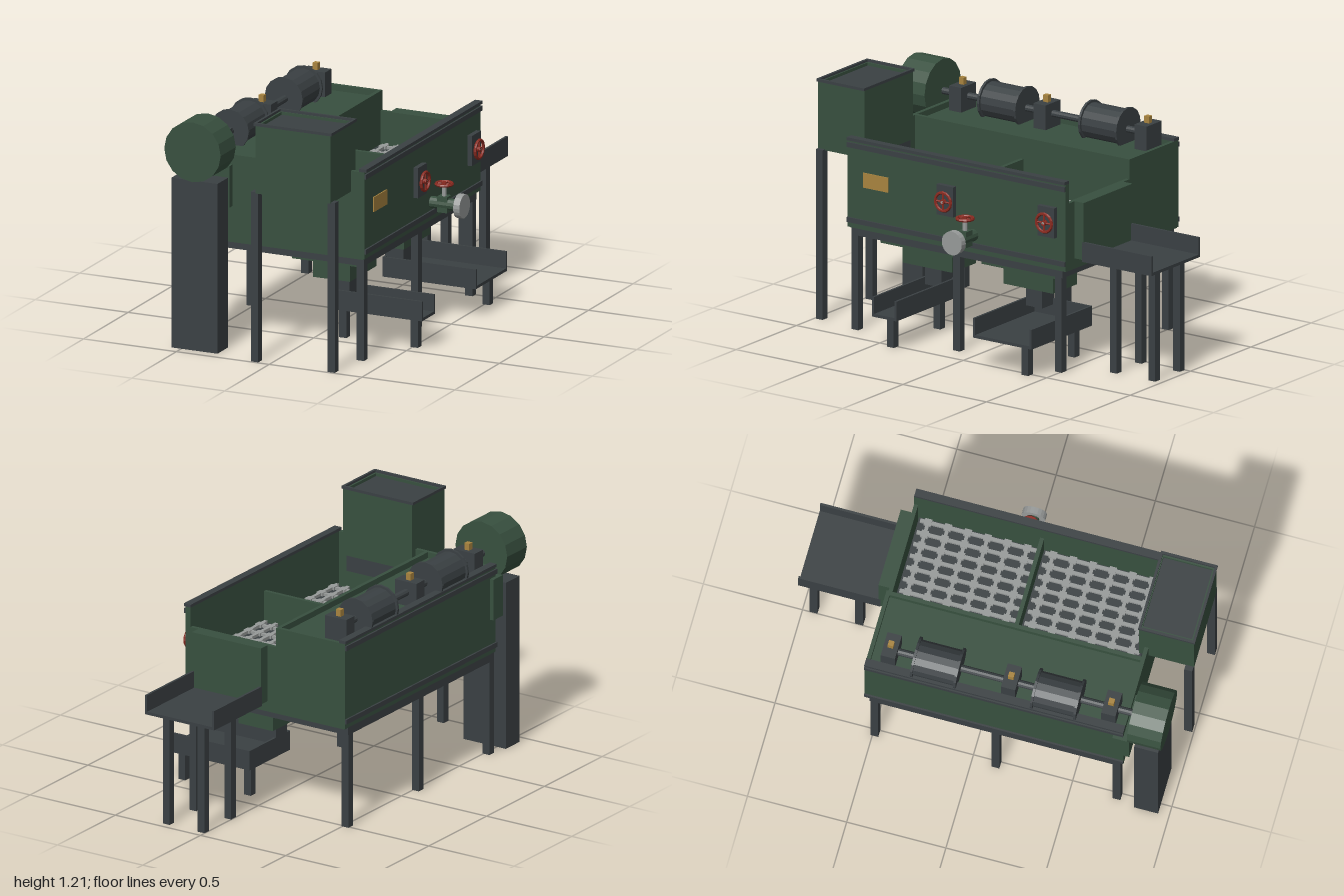
import * as THREE from 'three';

const mat = (name, color) => {
  const m = new THREE.MeshStandardMaterial({ color, flatShading: true });
  m.name = name;
  return m;
};

export function createModel() {
  const root = new THREE.Group();
  root.name = 'oreJig';
  const green = mat('machineGreen', 0x38503f);
  const dark = mat('darkSteel', 0x3a4043);
  const brass = mat('brass', 0xa8843f);
  const red = mat('handwheelRed', 0x8a2a20);
  const light = mat('lightSteel', 0x979a99);

  // Box from min/max extents on each axis
  const box = (name, m, x0, x1, y0, y1, z0, z1) => {
    const mesh = new THREE.Mesh(new THREE.BoxGeometry(x1 - x0, y1 - y0, z1 - z0), m);
    mesh.position.set((x0 + x1) / 2, (y0 + y1) / 2, (z0 + z1) / 2);
    mesh.name = name;
    root.add(mesh);
    return mesh;
  };
  // Cylinder centred at (x, y, z) along an axis
  const cyl = (name, m, r, len, axis, x, y, z, sides = 16, parent = root) => {
    const g = new THREE.CylinderGeometry(r, r, len, sides);
    if (axis === 'x') g.rotateZ(Math.PI / 2);
    if (axis === 'z') g.rotateX(Math.PI / 2);
    const mesh = new THREE.Mesh(g, m);
    mesh.position.set(x, y, z);
    mesh.name = name;
    parent.add(mesh);
    return mesh;
  };
  const post = (name, x, z, h) => box(name, dark, x - 0.02, x + 0.02, 0, h, z - 0.02, z + 0.02);
  // Handwheel with four spokes, lying flat around y
  const handwheel = (r, x, y, z) => {
    const wheel = new THREE.Group();
    wheel.name = 'handwheel';
    const rim = new THREE.Mesh(new THREE.TorusGeometry(r, 0.008, 6, 16).rotateX(Math.PI / 2), red);
    rim.name = 'wheelRim';
    wheel.add(rim);
    cyl('wheelSpoke', red, 0.005, 2 * r, 'x', 0, 0, 0, 6, wheel);
    cyl('wheelSpoke', red, 0.005, 2 * r, 'z', 0, 0, 0, 6, wheel);
    cyl('wheelHub', red, 0.013, 0.02, 'y', 0, 0, 0, 10, wheel);
    wheel.position.set(x, y, z);
    root.add(wheel);
    return wheel;
  };

  // Tank walls, floor and side chamber
  const zB = -0.54, zF = 0.765;
  box('rightWall', green, 0.37, 0.4, 0.52, 0.96, zB, zF);
  box('leftWall', green, -0.535, -0.51, 0.52, 0.96, zB, zF);
  box('frontWall', green, -0.535, 0.4, 0.52, 0.96, zF - 0.02, zF);
  box('chamberBackWall', green, -0.535, -0.13, 0.52, 0.96, zB, zB + 0.02);
  box('overflowWeir', green, -0.13, 0.37, 0.52, 0.86, zB, zB + 0.02);
  box('chamberDivider', green, -0.15, -0.13, 0.52, 0.96, zB, zF);
  box('chamberDeck', green, -0.52, -0.14, 0.91, 0.93, zB + 0.01, zF - 0.01);
  box('tankFloor', green, -0.53, 0.39, 0.515, 0.53, zB + 0.005, zF - 0.005);
  box('cellPartition', green, -0.13, 0.37, 0.53, 0.85, 0.095, 0.115);

  // Rails and stiffeners along both sides
  for (const [x0, x1, s0, s1] of [[0.37, 0.41, 0.398, 0.409], [-0.54, -0.5, -0.544, -0.533]]) {
    box('topRail', dark, x0, x1, 0.96, 0.975, zB, zF);
    box('upperStiffener', dark, s0, s1, 0.925, 0.95, zB, zF);
    box('lowerStiffener', dark, s0, s1, 0.545, 0.57, zB, zF);
  }

  // Screen beds with raised grid bars
  for (const [z0, z1] of [[-0.515, 0.095], [0.115, 0.715]]) {
    box('screenBed', dark, -0.13, 0.37, 0.675, 0.69, z0, z1);
    for (let i = 0; i < 8; i++) {
      const x = -0.085 + i * 0.0625;
      box('screenBar', light, x - 0.009, x + 0.009, 0.69, 0.705, z0 + 0.01, z1 - 0.01);
    }
    for (let i = 0; i < 6; i++) {
      const z = z0 + 0.05 + i * 0.1;
      box('screenCrossBar', light, -0.11, 0.365, 0.69, 0.703, z - 0.009, z + 0.009);
      for (let k = 0; k < 8; k++) {
        const x = -0.085 + k * 0.0625;
        box('screenNode', light, x - 0.018, x + 0.018, 0.69, 0.706, z - 0.018, z + 0.018);
      }
    }
  }

  // Base frame and legs
  for (const x of [-0.515, 0.37]) {
    box('frameSideBeam', dark, x - 0.02, x + 0.02, 0.48, 0.52, -0.515, 0.75);
    for (const z of [-0.49, 0.12, 0.73]) post('frameLeg', x, z, 0.48);
  }
  for (const z of [-0.495, 0.12, 0.73]) box('frameCrossBeam', dark, -0.515, 0.37, 0.48, 0.518, z - 0.02, z + 0.02);

  // Stepped hutches, spouts and concentrate launders
  for (const [c, t0, t1, legZ] of [[0.415, 0.345, 0.49, 0.415], [-0.19, -0.465, -0.115, -0.39]]) {
    box('hutchUpper', green, -0.05, 0.3, 0.435, 0.516, c - 0.225, c + 0.225);
    box('hutchLower', green, 0.025, 0.225, 0.33, 0.435, c - 0.148, c + 0.148);
    box('hutchSpout', dark, 0.075, 0.175, 0.225, 0.33, c - 0.048, c + 0.048);
    box('launderFloor', dark, 0.075, 0.578, 0.155, 0.17, t0, t1);
    box('launderWall', dark, 0.075, 0.578, 0.155, 0.255, t0, t0 + 0.012);
    box('launderWall', dark, 0.075, 0.578, 0.155, 0.255, t1 - 0.012, t1);
    box('launderEnd', dark, 0.075, 0.087, 0.155, 0.255, t0, t1);
    for (const x of [0.125, 0.51]) post('launderLeg', x, legZ, 0.156);
  }

  // Tailings lip and discharge tray at the back
  box('tailingsLip', green, -0.08, 0.325, 0.57, 0.86, -0.595, zB);
  box('trayFloor', dark, -0.08, 0.325, 0.56, 0.575, -1, -0.585);
  for (const x of [-0.08, 0.313]) box('trayWall', dark, x, x + 0.012, 0.56, 0.66, -1, -0.585);
  for (const x of [0.02, 0.225]) for (const z of [-0.715, -0.945]) post('trayLeg', x, z, 0.56);

  // Feed hopper with rim, fill plate and legs
  const hx0 = -0.077, hx1 = 0.328, hz0 = 0.717, hz1 = 0.995, t = 0.015;
  box('hopperSide', green, hx0, hx0 + t, 0.86, 1.2, hz0, hz1);
  box('hopperSide', green, hx1 - t, hx1, 0.86, 1.2, hz0, hz1);
  box('hopperFront', green, hx0, hx1, 0.86, 1.2, hz1 - t, hz1);
  box('hopperBack', green, hx0, hx1, 0.86, 1.2, hz0, hz0 + t);
  box('hopperFill', dark, hx0 + t, hx1 - t, 1.17, 1.185, hz0 + t, hz1 - t);
  box('hopperFloor', green, hx0, hx1, 0.855, 0.87, hz0, hz1);
  for (const z of [hz0 - 0.003, hz1 - 0.008]) box('hopperRim', dark, hx0 - 0.007, hx1 + 0.007, 1.198, 1.212, z, z + 0.013);
  for (const x of [hx0 - 0.007, hx1 - 0.006]) box('hopperRim', dark, x, x + 0.013, 1.198, 1.212, hz0, hz1);
  box('feedChute', dark, -0.06, 0.31, 0.775, 0.858, 0.72, 0.745);
  for (const x of [-0.083, 0.33]) post('hopperLeg', x, 0.972, 0.86);

  // Drive guard column and pulley cover
  box('driveColumn', dark, -0.553, -0.305, 0, 0.86, 0.825, 0.945);
  box('driveBracket', green, -0.555, -0.31, 0.7, 0.91, 0.715, 0.8);
  cyl('pulleyCover', green, 0.152, 0.17, 'z', -0.43, 1.01, 0.88, 16);

  // Drive line: shaft, drums and bearings
  cyl('driveShaft', dark, 0.018, 1.25, 'z', -0.435, 1.0, 0.19, 10);
  for (const z of [-0.195, 0.41]) {
    cyl('drum', dark, 0.09, 0.22, 'z', -0.44, 1.005, z, 16);
    for (const s of [-1, 1]) cyl('drumFlange', dark, 0.102, 0.012, 'z', -0.44, 1.005, z + s * 0.109, 16);
  }
  for (const z of [-0.433, 0.173, 0.678]) {
    box('bearingBlock', dark, -0.495, -0.37, 0.93, 1.055, z - 0.036, z + 0.036);
    box('greaseCup', brass, -0.447, -0.42, 1.055, 1.09, z - 0.014, z + 0.014);
  }

  // Nameplate and gate handwheels on the right wall
  box('namePlate', brass, 0.4, 0.406, 0.735, 0.81, 0.52, 0.67);
  for (const z of [0.165, -0.44]) {
    box('gatePlate', dark, 0.4, 0.425, 0.685, 0.838, z - 0.05, z + 0.05);
    cyl('gateStem', light, 0.008, 0.03, 'x', 0.435, 0.76, z, 8);
    handwheel(0.046, 0.44, 0.76, z).rotation.z = Math.PI / 2;
  }

  // Water inlet valve
  const vz = 0.012;
  cyl('inletPipe', green, 0.03, 0.15, 'x', 0.475, 0.61, vz, 12);
  box('valveBody', green, 0.443, 0.495, 0.57, 0.65, vz - 0.026, vz + 0.026);
  cyl('valveStem', light, 0.012, 0.06, 'y', 0.469, 0.68, vz, 8);
  cyl('inletFlange', light, 0.06, 0.034, 'x', 0.562, 0.61, vz, 20);
  handwheel(0.04, 0.469, 0.71, vz);

  return root;
}
